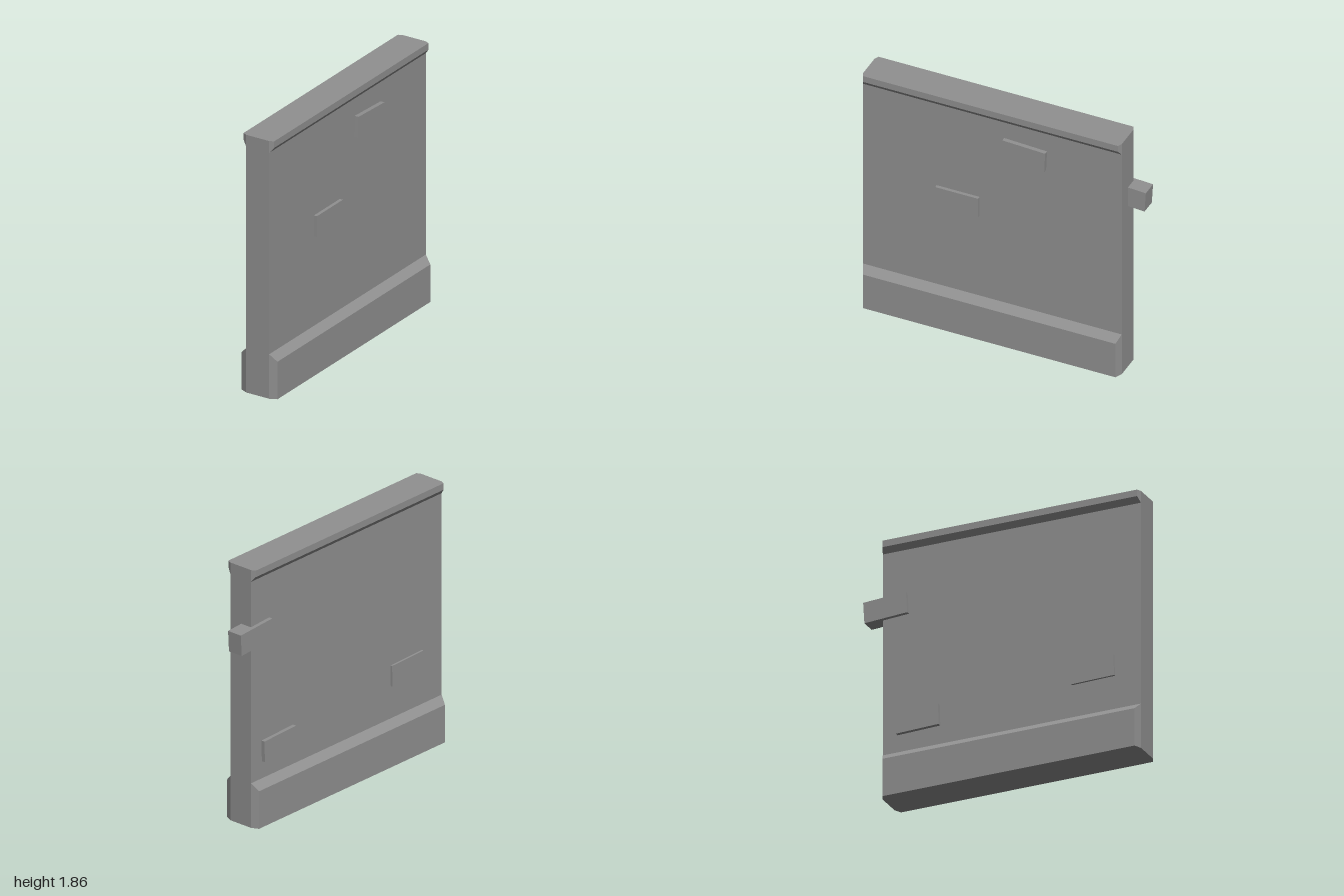
import * as THREE from 'three';

const FRONT = 1, BACK = -0.87, HALF = 0.09;

// Eight-cornered outline with chamfered ends, counterclockwise from above
function ring([y, w, inset]) {
  const half = [[HALF, FRONT], [w, FRONT - inset], [w, BACK + inset], [HALF, BACK]];
  const other = half.slice().reverse().map(([x, z]) => [-x, z]);
  return half.concat(other).map(([x, z]) => new THREE.Vector3(x, y, z));
}

// Skin a stack of outlines [y, half width, end inset], optionally closed
function loft(sections, closeBottom, closeTop) {
  const rings = sections.map(ring);
  const pos = [];
  const tri = (a, b, c) => {
    if (new THREE.Triangle(a, b, c).getArea() < 1e-7) return;
    for (const p of [a, b, c]) pos.push(p.x, p.y, p.z);
  };
  for (let k = 0; k + 1 < rings.length; k++) {
    const lo = rings[k], hi = rings[k + 1];
    for (let j = 0; j < 8; j++) {
      const n = (j + 1) % 8;
      tri(lo[j], lo[n], hi[n]);
      tri(lo[j], hi[n], hi[j]);
    }
  }
  const bottom = rings[0], top = rings[rings.length - 1];
  for (let j = 1; j < 7; j++) {
    if (closeBottom) tri(bottom[0], bottom[j + 1], bottom[j]);
    if (closeTop) tri(top[0], top[j], top[j + 1]);
  }
  const geo = new THREE.BufferGeometry();
  geo.setAttribute('position', new THREE.Float32BufferAttribute(pos, 3));
  geo.computeVertexNormals();
  return geo;
}

export function createModel() {
  const group = new THREE.Group();
  const stone = new THREE.MeshStandardMaterial({ color: 0x909090, flatShading: true });
  stone.name = 'stone grey';

  const add = (name, geo) => {
    const mesh = new THREE.Mesh(geo, stone);
    mesh.name = name;
    group.add(mesh);
    return mesh;
  };

  // Plinth, wall panel and coping
  add('base', loft([[0, 0.14, 0.023], [0.27, 0.14, 0.023], [0.32, HALF, 0]], true, false));
  add('wall', loft([[0.32, HALF, 0], [1.77, HALF, 0]], false, false));
  add('coping', loft([[1.77, HALF, 0], [1.808, 0.12, 0.014], [1.855, 0.12, 0.014]], false, true));

  // Protruding bricks: outer face x, centre y, centre z, tilt in radians
  const bricks = [
    [0.12, 1.563, -0.172, 0.045],
    [0.114, 1.04, 0.312, 0],
    [-0.117, 1.37, -0.84, 0.06],
    [-0.117, 0.523, -0.61, 0.03],
    [-0.105, 0.63, 0.655, 0.02],
  ];
  const brickGeo = new THREE.BoxGeometry(0.112, 0.15, 0.31);
  for (const [x, y, z, tilt] of bricks) {
    const brick = add('brick', brickGeo);
    brick.position.set(x - Math.sign(x) * 0.056, y, z);
    brick.rotation.x = -tilt;
  }
  return group;
}
